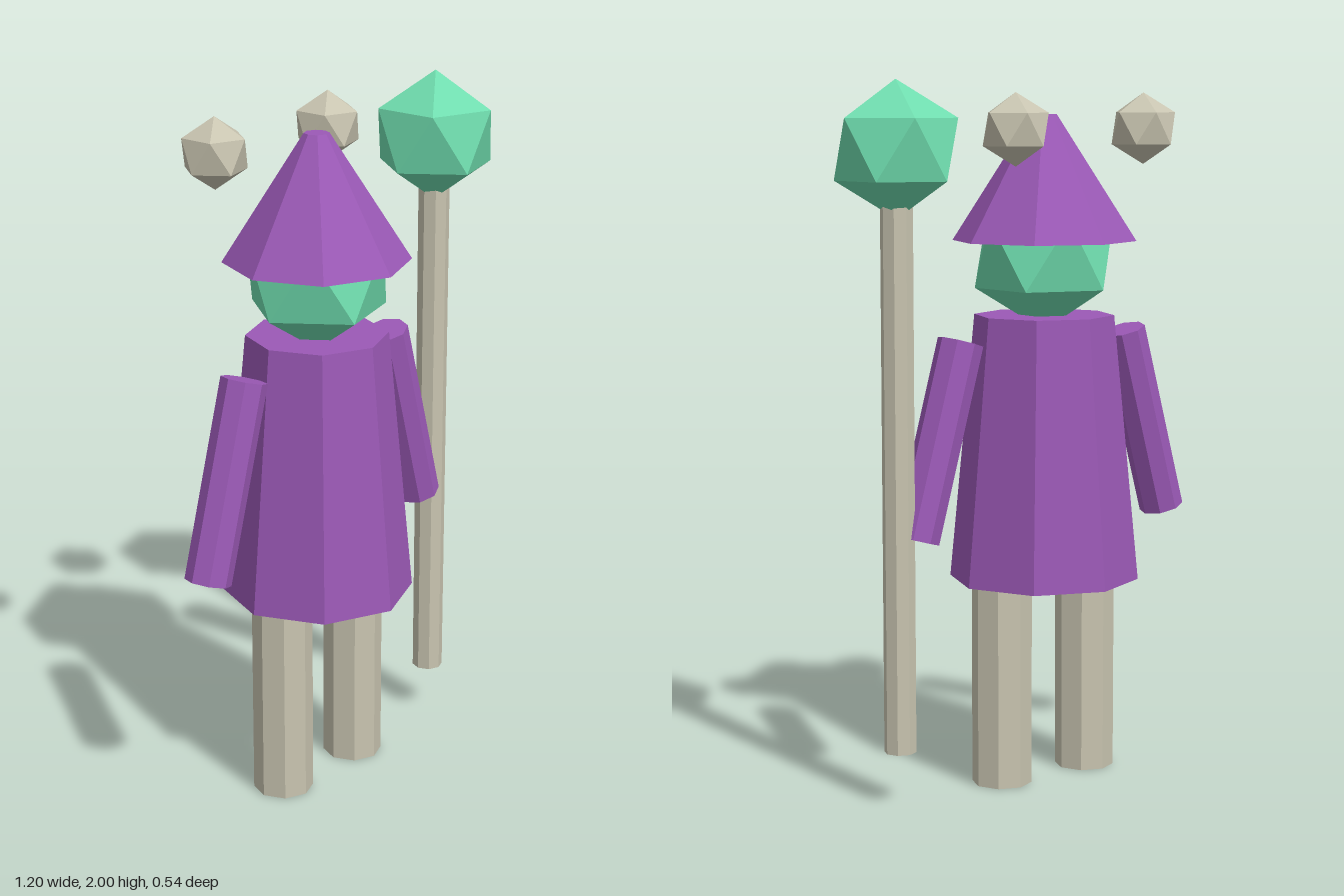
import * as THREE from 'three';

const material = (color) => new THREE.MeshStandardMaterial({ color, flatShading: true });

export function createModel() {
  const model = new THREE.Group();
  const purple = material(0x9b59b6);
  const green = material(0x6fdcae);
  const bone = material(0xc8c4b0);
  const bodyX = -0.083; // centre line of the figure

  function add(name, geometry, mat, x, y, z = 0) {
    const mesh = new THREE.Mesh(geometry, mat);
    mesh.name = name;
    mesh.position.set(x, y, z);
    model.add(mesh);
    return mesh;
  }

  // Eight-sided upright prism or cone between two heights
  const column = (name, rTop, rBottom, y0, y1, mat, x) =>
    add(name, new THREE.CylinderGeometry(rTop, rBottom, y1 - y0, 8), mat, x, (y0 + y1) / 2);

  // Icosahedron standing on a corner
  const tilt = -Math.atan(2 / (1 + Math.sqrt(5)));
  const gem = (name, radius, mat, x, y, z) =>
    add(name, new THREE.IcosahedronGeometry(radius, 0).rotateZ(tilt), mat, x, y, z);

  // Robe, head and hat
  column('robe', 0.2, 0.272, 0.58, 1.34, purple, bodyX);
  gem('head', 0.22, green, bodyX, 1.515);
  column('hat', 0.035, 0.262, 1.55, 1.905, purple, bodyX);

  // Paired legs, arms and floating stones
  for (const [side, s] of [['left', 1], ['right', -1]]) {
    column(side + 'Leg', 0.086, 0.086, 0, 0.6, bone, bodyX + s * 0.154);

    const arm = add(side + 'Arm', new THREE.CylinderGeometry(0.065, 0.065, 0.563, 8),
      purple, bodyX + s * 0.376, 1.01);
    arm.rotation.z = s * 0.28;

    gem(side + 'FloatingStone', 0.1, bone, bodyX + s * 0.23, 1.865, -0.16);
  }

  // Staff with its orb
  column('staff', 0.045, 0.045, 0.15, 1.66, bone, 0.43);
  gem('staffOrb', 0.187, green, 0.43, 1.813);

  return model;
}
